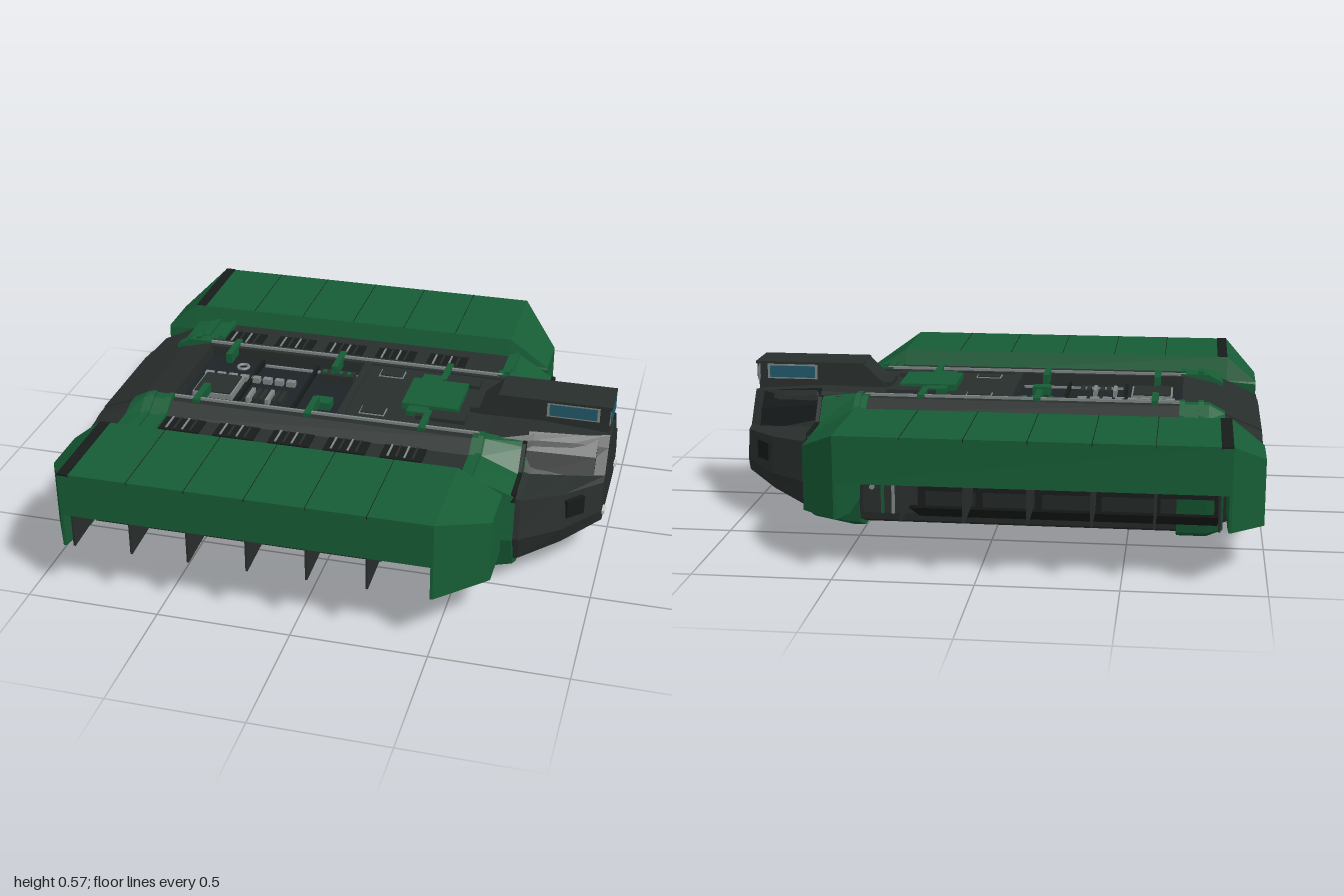
import * as THREE from 'three';

const mat = (color) => new THREE.MeshStandardMaterial({ color, flatShading: true, side: THREE.DoubleSide });

export function createModel() {
  const root = new THREE.Group();
  const green = mat(0x165c35), dark = mat(0x282e2c), black = mat(0x171b1a);
  const grey = mat(0x7d8484), glass = mat(0x205868), floor = mat(0x1c2327), light = mat(0xd8dcdc);

  const add = (name, geo, m) => {
    const mesh = new THREE.Mesh(geo, m);
    mesh.name = name;
    root.add(mesh);
    return mesh;
  };
  // box from min/max corners
  const box = (name, m, x0, x1, y0, y1, z0, z1) => {
    const mesh = add(name, new THREE.BoxGeometry(x1 - x0, y1 - y0, Math.abs(z1 - z0)), m);
    mesh.position.set((x0 + x1) / 2, (y0 + y1) / 2, (z0 + z1) / 2);
    return mesh;
  };
  // solid through closed rings of [z, y] points, placed along x; s = -1 mirrors it
  const loft = (name, m, rings, s = 1) => {
    const pos = [];
    const R = rings.map(([x, pts]) => {
      const p = pts.map(([z, y]) => [x, y, z * s]);
      return s < 0 ? p.reverse() : p;
    });
    const n = R[0].length;
    for (let i = 0; i < R.length - 1; i++) {
      for (let j = 0; j < n; j++) {
        const k = (j + 1) % n;
        const a = R[i][j], b = R[i][k], c = R[i + 1][k], d = R[i + 1][j];
        pos.push(...a, ...d, ...c, ...a, ...c, ...b);
      }
    }
    const cap = (ring, flip) => {
      const tris = THREE.ShapeUtils.triangulateShape(ring.map((p) => new THREE.Vector2(p[2], p[1])), []);
      for (const [a, b, c] of tris) pos.push(...ring[a], ...ring[flip ? c : b], ...ring[flip ? b : c]);
    };
    cap(R[0], false);
    cap(R[R.length - 1], true);
    const g = new THREE.BufferGeometry();
    g.setAttribute('position', new THREE.Float32BufferAttribute(pos, 3));
    g.computeVertexNormals();
    return add(name, g, m);
  };
  // full ring from its +z half
  const sym = (half) => [...half, ...half.map(([z, y]) => [-z, y]).reverse()];

  // hull with sunken centre channel
  const mid = [[.36, .015], [.48, .06], [.518, .2], [.508, .44], [.34, .44], [.28, .48], [.22, .48], [.22, .42]];
  loft('hull', dark, [
    [-.99, sym([[.3, .12], [.44, .14], [.475, .2], [.465, .36], [.33, .37], [.28, .38], [.22, .38], [.22, .37]])],
    [-.82, sym([[.36, .04], [.475, .08], [.515, .2], [.505, .43], [.34, .43], [.28, .45], [.22, .45], [.22, .41]])],
    [-.7, sym(mid)],
    [.54, sym(mid)],
    [.72, sym([[.34, .05], [.455, .1], [.49, .2], [.465, .35], [.28, .36], [.22, .47], [.2, .485], [.2, .42]])],
    [.86, sym([[.26, .1], [.35, .13], [.385, .2], [.355, .335], [.23, .345], [.17, .45], [.15, .47], [.15, .42]])],
    [.99, sym([[.18, .145], [.22, .165], [.24, .215], [.215, .325], [.18, .335], [.12, .42], [.09, .46], [.09, .43]])],
  ]);
  // centre deck covers behind and ahead of the bay
  const slab = (w, y0, y1) => [[w, y0], [w, y1], [-w, y1], [-w, y0]];
  loft('rearDeck', dark, [[-.99, slab(.23, .3, .385)], [-.82, slab(.23, .35, .455)], [-.69, slab(.23, .38, .485)]]);
  loft('foreDeck', dark, [[-.02, slab(.23, .38, .475)], [.54, slab(.23, .38, .475)], [.72, slab(.205, .38, .478)], [.98, slab(.095, .38, .46)]]);
  box('keelPlate', grey, -.65, .65, 0, .025, -.105, .105);

  // cabin on the nose
  const cabin = new THREE.Shape([[.46, .47], [.49, .5], [.56, .565], [.985, .565], [.975, .36], [.7, .4]].map((p) => new THREE.Vector2(...p)));
  const cabGeo = new THREE.ExtrudeGeometry(cabin, { depth: .15, bevelEnabled: false });
  cabGeo.translate(0, 0, -.075);
  add('cabin', cabGeo, dark);
  box('cabinRoof', dark, .56, .99, .56, .57, -.083, .083);
  box('frontWindowFrame', grey, .975, .985, .49, .56, -.075, .075);
  box('frontWindow', glass, .98, .99, .497, .555, -.066, .066);

  for (const s of [1, -1]) {
    box('sideWindowFrame', grey, .745, .945, .5, .558, s * .07, s * .078);
    box('sideWindow', glass, .755, .935, .506, .552, s * .07, s * .081);
    loft('noseButtress', black, [[.7, [[.29, .35], [.25, .44], [.2, .495], [.16, .4]]],
      [.95, [[.2, .335], [.17, .4], [.11, .46], [.1, .38]]]], s);
    const lamp = box('headlight', light, .985, 1, .18, .195, s * .16, s * .2);
    lamp.rotation.x = s * .1;
    const slot = box('noseSlot', black, .86, .94, .24, .31, s * .32, s * .338);
    slot.rotation.y = s * .8;

    // thrusters at the stern
    const ring = add('thrusterRing', new THREE.TorusGeometry(.085, .018, 8, 24), grey);
    ring.rotation.y = Math.PI / 2;
    ring.position.set(-.982, .255, s * .34);
    const core = add('thrusterCore', new THREE.CylinderGeometry(.07, .07, .012, 24), black);
    core.rotation.z = Math.PI / 2;
    core.position.set(-.989, .255, s * .34);
    const hub = add('thrusterHub', new THREE.CylinderGeometry(.05, .05, .012, 16), light);
    hub.rotation.z = Math.PI / 2;
    hub.position.set(-.993, .255, s * .34);

    // green bands wrapped round the hull
    const band = [[.3, .005], [.38, .005], [.487, .05], [.524, .2], [.513, .447], [.345, .447], [.285, .487], [.24, .487], [.24, .4]];
    loft('rearBand', green, [[-.85, [[.3, .03], [.38, .03], [.48, .065], [.52, .2], [.51, .435], [.345, .435], [.285, .455], [.24, .455], [.24, .4]]],
      [-.79, band], [-.68, band]], s);
    loft('frontBand', green, [[.5, band], [.55, band],
      [.7, [[.3, .02], [.37, .03], [.47, .08], [.503, .2], [.48, .37], [.33, .375], [.265, .46], [.24, .47], [.24, .4]]]], s);
    // raised straps following the deck profile
    const strap = [[.3, .41], [.508, .41], [.511, .458], [.345, .458], [.285, .498], [.25, .498], [.25, .42]];
    for (const x of [-.77, -.7, .525]) loft('bandStrap', green, [[x, strap], [x + .02, strap]], s);
    const endStrap = [[.3, .35], [.485, .35], [.478, .385], [.33, .39], [.265, .475], [.24, .475], [.24, .4]];
    loft('frontStrap', black, [[.685, endStrap], [.7, endStrap]], s);

    // grilles along the flank troughs
    for (let i = 0; i < 5; i++) {
      const x = -.68 + i * .216;
      box('grillePlate', black, x, x + .16, .438, .446, s * .345, s * .44);
      for (let k = 0; k < 4; k++) box('grilleSlat', k % 2 ? dark : grey, x + .025 + k * .032, x + .032 + k * .032, .44, .45, s * .345, s * .43);
    }
    // deck rail and cross brackets
    box('deckRail', grey, -.7, .52, .48, .49, s * .24, s * .25);
    for (const x of [-.6, -.155, .29]) box('railBracket', green, x, x + .025, .455, .495, s * .13, s * .275);

    // hull side bay: green panel, posts and service block
    box('sidePanel', green, -.83, .27, .21, .33, s * .5, s * .523);
    box('sideRail', grey, -.83, .27, .29, .3, s * .52, s * .527);
    box('sideBeam', black, -.83, .27, .19, .21, s * .5, s * .528);
    for (const x of [-.83, -.61, -.395, -.175, .045, .26]) box('sidePost', black, x - .012, x + .012, .1, .335, s * .5, s * .53);
    box('serviceBlock', dark, .28, .48, .1, .34, s * .49, s * .525);
    for (const x of [.32, .36, .4]) box('serviceStrip', x === .36 ? grey : green, x, x + .012, .1, .33, s * .52, s * .53);
    for (let k = 0; k < 4; k++) {
      const knob = add('serviceKnob', new THREE.CylinderGeometry(.01, .01, .012, 10), grey);
      knob.rotation.x = Math.PI / 2;
      knob.position.set(.445, .2 + k * .035, s * .528);
    }
    // lower flap folded outward
    const flap = [[.5, .085], [.74, .19], [.74, .2], [.5, .095]];
    loft('lowerFlap', black, [[-.83, flap], [.27, flap]], s);

    // raised side door: roof with skirt, ribs and tapered end blocks
    loft('doorRoof', green, [-.87, .5].map((x) => [x, [[.93, .33], [.94, .33], [.94, .5], [.54, .5], [.515, .4], [.525, .4], [.55, .49], [.93, .49]]]), s);
    const full = [[.53, .155], [.72, .155], [.94, .2], [.94, .5], [.54, .5], [.515, .4]];
    const tip = [[.515, .155], [.7, .155], [.715, .16], [.715, .4], [.52, .4], [.515, .39]];
    loft('frontEndBlock', green, [[.49, full], [.5, full], [.66, tip]], s);
    loft('rearEndBlock', green, [[-.99, tip], [-.87, full], [-.86, full]], s);
    box('roofStrip', black, -.87, -.83, .495, .502, s * .54, s * .942);
    const rib = [[.75, .21], [.935, .2], [.935, .495], [.56, .495]];
    for (const x of [-.83, -.61, -.395, -.175, .045, .265]) {
      loft('doorRib', dark, [[x - .004, rib], [x + .004, rib]], s);
      box('roofSeam', black, x - .001, x + .001, .49, .501, s * .54, s * .941);
    }

    // hatch and turret shoulder on the fore deck
    box('hatchFrame', grey, .04, .14, .47, .478, s * .13, s * .19);
    box('hatch', dark, .045, .135, .47, .482, s * .135, s * .185);
    box('turretShoulder', dark, .26, .45, .46, .49, s * .115, s * .18);
    box('turretArm', green, .22, .3, .47, .495, s * .11, s * .16);
  }
  // turret platform
  box('turretPlatform', green, .19, .41, .47, .5, -.11, .11);
  box('spine', dark, .45, .58, .46, .495, -.07, .07);

  // equipment bay
  box('bayFloor', floor, -.69, -.02, .4, .428, -.22, .22);
  box('bayCrossbeam', dark, -.04, -.01, .42, .48, -.22, .22);
  box('plateFrame', grey, -.65, -.49, .42, .455, -.03, .14);
  box('plate', dark, -.643, -.497, .43, .46, -.023, .133);
  for (let i = 0; i < 8; i++) box('valve', grey, -.66 + i * .049, -.625 + i * .049, .42, .45, -.06, -.035);
  for (let i = 0; i < 6; i++) box('ventSlat', i % 3 ? dark : grey, -.43 + i * .026, -.415 + i * .026, .42, .455, .05, .14);
  box('junctionBox', green, -.165, -.095, .42, .46, .06, .115);
  box('controlRack', dark, -.2, -.06, .42, .465, -.16, -.11);
  for (let i = 0; i < 4; i++) box('controlKey', green, -.19 + i * .033, -.175 + i * .033, .46, .47, -.145, -.125);
  const dial = add('dial', new THREE.TorusGeometry(.022, .006, 6, 16), grey);
  dial.rotation.x = Math.PI / 2;
  dial.position.set(-.53, .44, -.14);
  for (const z of [-.19, .18]) box('bayPipe', grey, -.45, -.05, .425, .437, z, z + .01);
  for (const x of [-.47, -.24]) box('bayDivider', black, x, x + .012, .42, .45, -.21, .21);
  // stern panel
  box('sternPanel', black, -1, -.985, .2, .3, -.12, .12);
  return root;
}
